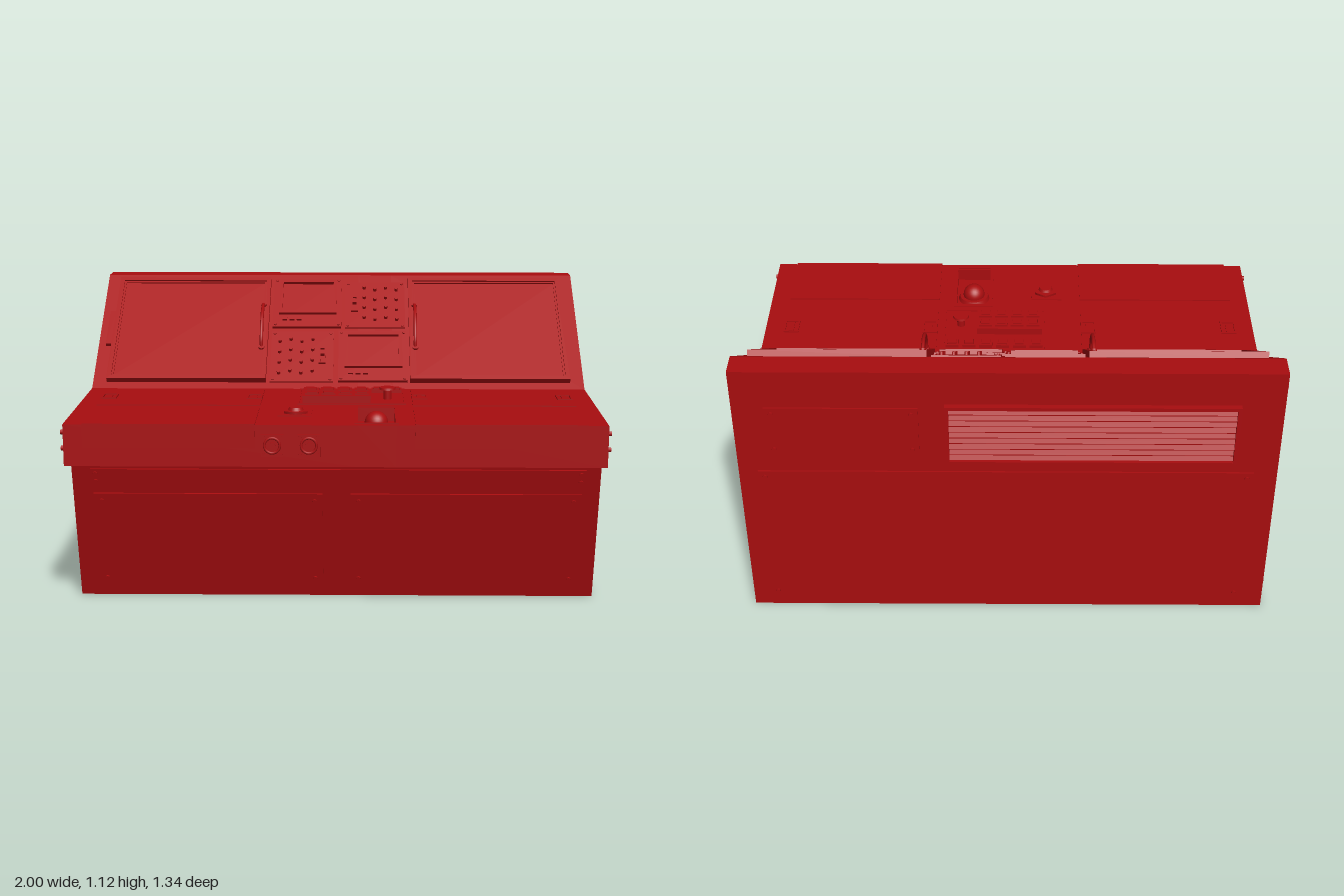
import * as THREE from 'three';

const red = new THREE.MeshStandardMaterial({ color: 0xa80d0f });

export function createModel() {
  const model = new THREE.Group();
  model.name = 'controlDesk';

  const add = (parent, name, geo, x = 0, y = 0, z = 0) => {
    const m = new THREE.Mesh(geo, red);
    m.name = name;
    m.position.set(x, y, z);
    parent.add(m);
    return m;
  };
  // A working face: local x and y lie in the face, local z points out of it.
  const face = (name, pos, rx, ry = 0) => {
    const g = new THREE.Group();
    g.name = name;
    g.position.set(...pos);
    g.rotation.set(rx, ry, 0);
    model.add(g);
    return g;
  };
  const polygon = pts => new THREE.Shape(pts.map(p => new THREE.Vector2(...p)));
  const rect = (x0, x1, y0, y1) => [[x0, y0], [x1, y0], [x1, y1], [x0, y1]];
  const slab = (shape, h) => new THREE.ExtrudeGeometry(shape, { depth: h, bevelEnabled: false });
  const plate = (g, name, x0, x1, y0, y1, h, z = 0) =>
    add(g, name, new THREE.BoxGeometry(x1 - x0, y1 - y0, h), (x0 + x1) / 2, (y0 + y1) / 2, z + h / 2);
  const frame = (g, name, x0, x1, y0, y1, b, h, z = 0) => {
    const s = polygon(rect(x0, x1, y0, y1));
    s.holes.push(new THREE.Path(rect(x0 + b, x1 - b, y0 + b, y1 - b).reverse().map(p => new THREE.Vector2(...p))));
    return add(g, name, slab(s, h), 0, 0, z);
  };
  const peg = (g, name, x, y, r, h, z = 0, sides = 16, top = r) =>
    add(g, name, new THREE.CylinderGeometry(top, r, h, sides).rotateX(Math.PI / 2), x, y, z + h / 2);
  const bolts = (g, x0, x1, y0, y1, h, z = 0, r = 0.009) =>
    rect(x0, x1, y0, y1).forEach(([x, y]) => peg(g, 'bolt', x, y, r, h, z, 8));

  // Cabinet: side profile swept across, with a pocket cut into the desk
  const outline = pocket => [[-0.645, 0], [0.385, 0], [0.525, 0.58], [0.66, 0.58], [0.66, 0.735],
    ...(pocket ? [[0.62, 0.735], [0.62, 0.685], [0.36, 0.685], [0.36, 0.735]] : []),
    [0, 0.735], [-0.55, 1.12], [-0.645, 1.12]];
  [[-0.985, 0.08, false], [0.08, 0.22, true], [0.22, 0.985, false]].forEach(([x0, x1, pocket]) => {
    const geo = slab(polygon(outline(pocket)), x1 - x0).rotateY(-Math.PI / 2);
    // the rotation mirrors the sweep axis: turn profile x into world z
    geo.rotateY(0);
    const body = add(model, 'cabinet', geo);
    geo.rotateY(Math.PI).scale(1, 1, 1);
    geo.scale(-1, 1, -1).scale(-1, 1, 1);
    geo.computeBoundingBox();
    // keep faces outward after the mirror
    const a = geo.attributes.position, n = geo.attributes.normal;
    const flip = (arr, i, j) => {
      for (let k = 0; k < 3; k++) { const t = arr[i * 3 + k]; arr[i * 3 + k] = arr[j * 3 + k]; arr[j * 3 + k] = t; }
    };
    for (let i = 0; i < a.count; i += 3) { flip(a.array, i + 1, i + 2); flip(n.array, i + 1, i + 2); }
    geo.computeVertexNormals();
    body.position.x = x0 - geo.boundingBox.min.x;
  });

  // Sloped console
  const slope = face('console', [0, 0.735, 0], -Math.atan2(0.55, 0.385));
  const screen = (name, x0, x1, y0, y1, border, h) => {
    frame(slope, name + 'Frame', x0, x1, y0, y1, border, h);
    frame(slope, name + 'Bezel', x0 + border, x1 - border, y0 + border, y1 - border, 0.008, h * 0.75);
    plate(slope, name, x0 + border, x1 - border, y0 + border, y1 - border, h * 0.55);
  };
  for (const s of [-1, 1]) {
    screen('mainScreen', Math.min(s * 0.29, s * 0.93), Math.max(s * 0.29, s * 0.93), 0.035, 0.63, 0.018, 0.024);
    const bow = new THREE.CatmullRomCurve3([[0.21, 0.02], [0.235, 0.05], [0.285, 0.073], [0.335, 0.08],
      [0.385, 0.073], [0.435, 0.05], [0.46, 0.02]].map(([y, z]) => new THREE.Vector3(s * 0.314, y, z)));
    add(slope, 'screenHandle', new THREE.TubeGeometry(bow, 24, 0.007, 8));
    for (const y of [0.21, 0.46]) peg(slope, 'handleFoot', s * 0.314, y, 0.012, 0.008, 0.022);
  }
  plate(slope, 'hinge', -0.955, -0.93, 0.24, 0.43, 0.015);
  const monitor = (x0, x1, y0, y1) => {
    plate(slope, 'monitorPanel', x0, x1, y0, y1, 0.012);
    frame(slope, 'monitorFrame', x0 + 0.025, x1 - 0.02, y0 + 0.07, y1 - 0.02, 0.014, 0.012, 0.012);
    for (let i = 0; i < 3; i++) plate(slope, 'monitorKey', x0 + 0.04 + i * 0.03, x0 + 0.06 + i * 0.03, y0 + 0.035, y0 + 0.05, 0.008, 0.012);
    bolts(slope, x0 + 0.012, x1 - 0.012, y0 + 0.012, y1 - 0.012, 0.004, 0.012, 0.006);
  };
  monitor(-0.275, 0.01, 0.345, 0.635);
  monitor(0, 0.28, 0.035, 0.32);
  const switches = (x0, x1, y0, y1, slider) => {
    plate(slope, 'switchPanel', x0, x1, y0, y1, 0.006);
    bolts(slope, x0 + 0.012, x1 - 0.012, y0 + 0.012, y1 - 0.012, 0.004, 0.006, 0.006);
    for (let r = 0; r < 4; r++) for (let c = 0; c < 5; c++) {
      const x = x0 + 0.035 + c * 0.045, y = y0 + 0.045 + r * 0.06 + (c % 2) * 0.012;
      if (Math.abs(x - slider) > 0.025) peg(slope, 'switch', x, y, 0.007, 0.013, 0.006, 8);
    }
    frame(slope, 'sliderSlot', slider - 0.014, slider + 0.014, (y0 + y1) / 2 - 0.045, (y0 + y1) / 2 + 0.045, 0.006, 0.008, 0.006);
    plate(slope, 'sliderKnob', slider - 0.008, slider + 0.008, (y0 + y1) / 2, (y0 + y1) / 2 + 0.02, 0.016, 0.006);
  };
  switches(0.025, 0.275, 0.345, 0.62, 0.065);
  switches(-0.275, -0.02, 0.035, 0.32, -0.065);

  // Desk top: local y = -z
  const desk = face('deskTop', [0, 0.735, 0], -Math.PI / 2);
  for (const s of [-1, 1]) {
    const [a, b] = s < 0 ? [-0.915, -0.29] : [0.29, 0.91];
    plate(desk, 'upperDeskPanel', a, b, -0.33, -0.02, 0.004);
    for (const x of [a, b - 0.06]) {
      frame(desk, 'latchRim', x, x + 0.06, -0.225, -0.145, 0.007, 0.005, 0.004);
      plate(desk, 'latch', x + 0.02, x + 0.04, -0.215, -0.155, 0.003, 0.004);
    }
    plate(desk, 'lowerDeskPanel', a, b, -0.664, -0.39, 0.004);
  }
  frame(desk, 'keypadRim', -0.15, 0.265, -0.31, -0.02, 0.008, 0.006);
  plate(desk, 'keypadBase', -0.142, 0.257, -0.302, -0.028, 0.003);
  const button = (x, y, z, h) => {
    frame(desk, 'buttonRim', x - 0.026, x + 0.026, y - 0.024, y + 0.024, 0.007, h * 0.7, z);
    plate(desk, 'button', x - 0.017, x + 0.017, y - 0.015, y + 0.015, h, z);
  };
  for (let i = 0; i < 6; i++) button(-0.108 + i * 0.067, -0.068, 0.003, 0.018);
  plate(desk, 'keypadBlock', -0.132, 0.13, -0.285, -0.138, 0.03);
  for (let i = 0; i < 4; i++) for (const y of [-0.178, -0.243]) button(-0.096 + i * 0.064, y, 0.03, 0.01);
  peg(desk, 'stopButtonStem', 0.195, -0.205, 0.016, 0.043);
  peg(desk, 'stopButton', 0.195, -0.205, 0.032, 0.008, 0.041, 24, 0.03);

  // Hexagonal dial and the ball sunk into its pocket
  plate(desk, 'dialPlate', -0.215, -0.09, -0.515, -0.39, 0.003);
  peg(desk, 'dialNut', -0.15, -0.453, 0.05, 0.009, 0.003, 6);
  peg(desk, 'dial', -0.15, -0.453, 0.033, 0.02, 0.003, 24, 0.024);
  frame(desk, 'ballPocketRim', 0.07, 0.23, -0.64, -0.34, 0.012, 0.004);
  peg(desk, 'ballRing', 0.15, -0.48, 0.064, 0.016, -0.05, 32, 0.058);
  add(desk, 'trackBall', new THREE.SphereGeometry(0.044, 24, 16), 0.15, -0.48, -0.03);

  // Front edge of the desk
  const lip = face('deskEdge', [0, 0, 0.66], 0);
  plate(lip, 'leftEdgePanel', 0.29, 0.91, 0.65, 0.739, 0.004);
  plate(lip, 'rightEdgePanel', -0.915, -0.29, 0.65, 0.739, 0.004);
  for (const x of [-0.228, -0.095]) {
    plate(lip, 'socketPlate', x - 0.041, x + 0.041, 0.618, 0.702, 0.005);
    add(lip, 'socketRing', new THREE.TorusGeometry(0.028, 0.005, 8, 24), x, 0.66, 0.005);
    peg(lip, 'socketPin', x, 0.66, 0.012, 0.006, 0.004);
    bolts(lip, x - 0.032, x + 0.032, 0.628, 0.692, 0.003, 0.005, 0.005);
  }

  // Leaning lower front
  const lower = face('lowerFront', [0, 0, 0.385], Math.atan2(0.14, 0.58));
  const screwed = (g, name, x0, x1, y0, y1, h = 0.006, inset = 0.03) => {
    plate(g, name, x0, x1, y0, y1, h);
    bolts(g, x0 + inset, x1 - inset, y0 + inset, y1 - inset, 0.006, h);
  };
  screwed(lower, 'frontStrip', -0.915, 0.93, 0.482, 0.55, 0.006, 0.018);
  screwed(lower, 'frontDoor', -0.91, -0.05, 0.05, 0.447);
  screwed(lower, 'frontDoor', 0.055, 0.92, 0.05, 0.447);

  // Side panels
  for (const s of [-1, 1]) {
    const side = face('sidePanels', [s * 0.985, 0, 0], 0, s * Math.PI / 2);
    const pts = [[-0.59, 0.05], [-0.33, 0.05], [-0.33, 0.87], [-0.59, 1.05]].map(([z, y]) => [-s * z, y]);
    add(side, 'sideDoor', slab(polygon(pts), 0.003));
    [[-0.57, 0.07], [-0.35, 0.07], [-0.35, 0.845], [-0.57, 1.015],
      [0.045, 0.638], [0.62, 0.638], [0.045, 0.698], [0.62, 0.698]].forEach(([z, y]) => peg(side, 'bolt', -s * z, y, 0.009, 0.012, 0.003, 8));
    const u = [-s * 0.64, -s * 0.025].sort((a, b) => a - b);
    plate(side, 'deskSideStrip', u[0], u[1], 0.62, 0.715, 0.003);
  }

  // Back: local x = -x
  const back = face('back', [0, 0, -0.645], 0, Math.PI);
  screwed(back, 'backDoor', -0.915, 0.9, 0.05, 0.675, 0.006, 0.025);
  screwed(back, 'backPlate', -0.87, -0.32, 0.755, 0.965, 0.006, 0.025);
  frame(back, 'ventFrame', -0.225, 0.83, 0.72, 0.982, 0.014, 0.02);
  for (let i = 0; i < 9; i++) {
    const slat = plate(back, 'ventSlat', -0.211, 0.816, 0.738 + i * 0.026, 0.756 + i * 0.026, 0.006, 0.006);
    slat.rotation.x = -0.5;
  }
  return model;
}
